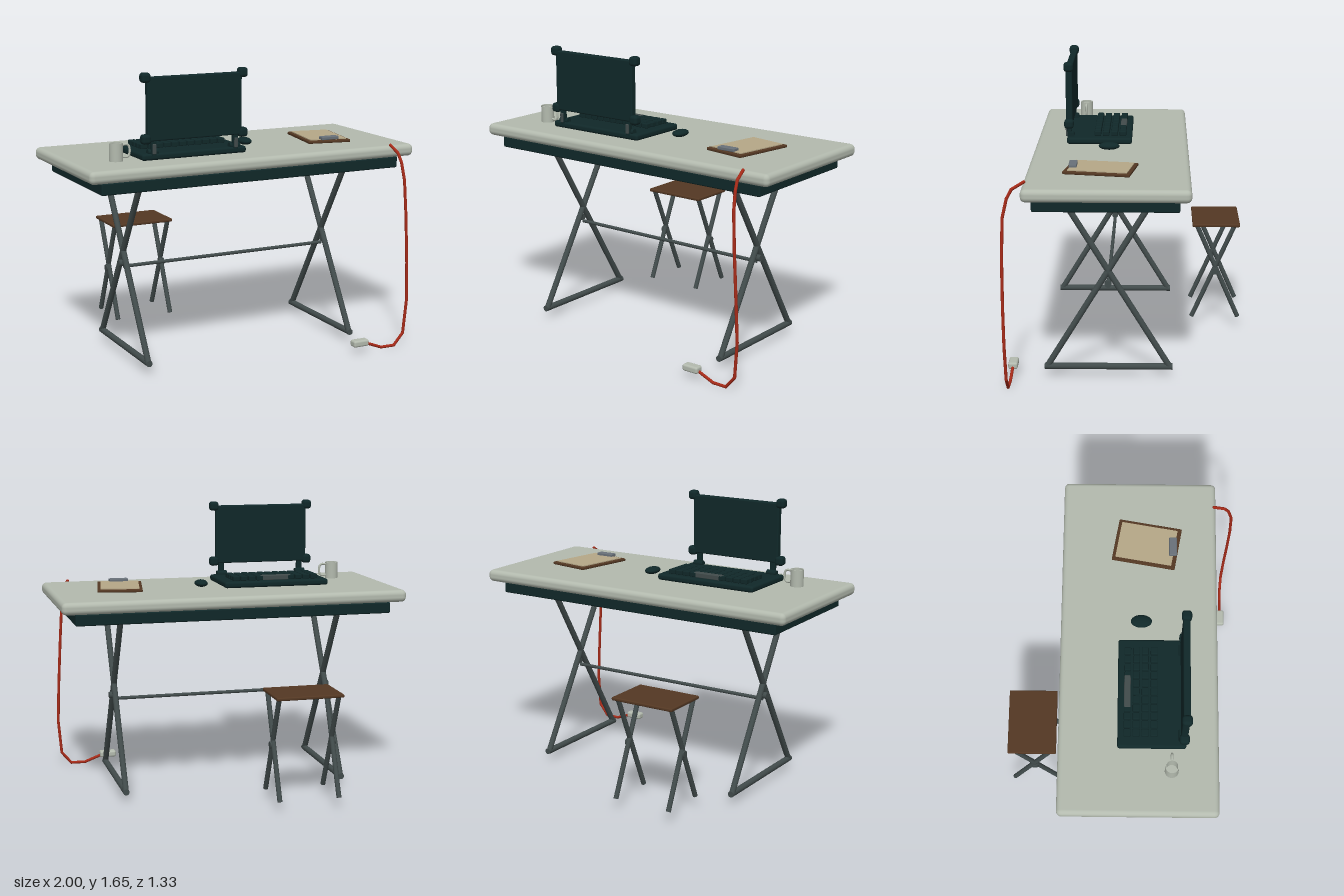
import * as THREE from 'three';
import { RoundedBoxGeometry } from 'three/addons/geometries/RoundedBoxGeometry.js';

const mat = (name, color) => {
  const m = new THREE.MeshStandardMaterial({ color });
  m.name = name;
  return m;
};

export function createModel() {
  const paleGrey = mat('pale grey', 0xb3baae);
  const darkTeal = mat('dark teal', 0x102829);
  const steel = mat('steel', 0x414b4b);
  const brown = mat('brown wood', 0x543823);
  const cream = mat('cream paper', 0xb5a787);
  const clipGrey = mat('clip grey', 0x697179);
  const red = mat('red', 0xa52a18);

  const model = new THREE.Group();
  model.name = 'foldingDesk';

  const group = (name, parent = model) => {
    const g = new THREE.Group();
    g.name = name;
    parent.add(g);
    return g;
  };
  const add = (name, geometry, material, [x, y, z] = [0, 0, 0], parent = model) => {
    const m = new THREE.Mesh(geometry, material);
    m.name = name;
    m.position.set(x, y, z);
    parent.add(m);
    return m;
  };
  // Rounded box given by its lower and upper corners
  const slab = (name, a, b, radius, material, parent) => add(name,
    new RoundedBoxGeometry(b[0] - a[0], b[1] - a[1], b[2] - a[2], 3, radius), material,
    a.map((v, i) => (v + b[i]) / 2), parent);
  // Round bar between two points
  const rod = (name, a, b, radius, material, parent) => {
    const p = new THREE.Vector3(...a), q = new THREE.Vector3(...b);
    const d = q.clone().sub(p);
    const m = add(name, new THREE.CylinderGeometry(radius, radius, d.length(), 16), material,
      p.clone().add(q).multiplyScalar(0.5).toArray(), parent);
    m.quaternion.setFromUnitVectors(new THREE.Vector3(0, 1, 0), d.normalize());
    return m;
  };

  // Desk top and the frame below it
  const desk = group('desk');
  slab('tabletop', [-1, 1.105, -0.34], [1, 1.175, 0.545], 0.028, paleGrey, desk);
  slab('underframe', [-0.92, 1.035, -0.28], [0.92, 1.1, 0.495], 0.008, darkTeal, desk);
  add('spacer', new THREE.BoxGeometry(1.76, 0.02, 0.7), darkTeal, [0, 1.1, 0.105], desk);

  // Crossed desk legs, foot bars and pivots
  for (const s of [-1, 1]) {
    const x = s * 0.645;
    rod('deskLeg', [x, 1.05, 0.362], [x, 0.063, -0.235], 0.017, steel, desk);
    rod('deskLeg', [x, 1.05, -0.152], [x, 0.063, 0.445], 0.017, steel, desk);
    rod('footBar', [x, 0.063, -0.25], [x, 0.063, 0.46], 0.018, steel, desk);
    rod('deskPivot', [x, 0.555, 0.105], [s * 0.675, 0.555, 0.105], 0.019, steel, desk);
  }
  rod('crossBar', [-0.645, 0.533, 0.105], [0.645, 0.533, 0.105], 0.01, steel, desk);

  // Folding stool
  const stool = group('stool');
  slab('seat', [-0.51, 0.638, -0.66], [-0.12, 0.657, -0.375], 0.007, brown, stool);
  for (const s of [-1, 1]) {
    const x = -0.315 + s * 0.173;
    rod('stoolLeg', [x, 0.645, -0.402], [x, 0.065, -0.655], 0.014, steel, stool);
    rod('stoolLeg', [x, 0.645, -0.628], [x, 0.065, -0.375], 0.014, steel, stool);
    rod('stoolPivot', [x, 0.358, -0.515], [x + s * 0.02, 0.358, -0.515], 0.02, steel, stool);
  }

  // Laptop base with keys
  const laptop = group('laptop');
  slab('laptopBase', [-0.63, 1.175, -0.013], [0, 1.212, 0.365], 0.014, darkTeal, laptop);
  const key = new RoundedBoxGeometry(0.041, 0.028, 0.038, 1, 0.005);
  for (let r = 0; r < 4; r++) {
    for (let c = 0; c < 11; c++) {
      if (r === 0 && c > 3 && c < 7) continue;
      add('key', key, darkTeal, [-0.552 + c * 0.0475, 1.225, 0.04 + r * 0.049], laptop);
    }
  }
  slab('spaceBar', [-0.41, 1.21, 0.022], [-0.222, 1.24, 0.058], 0.005, steel, laptop);

  // Laptop screen, corner bumpers and hinges
  slab('screen', [-0.6, 1.28, 0.332], [-0.032, 1.628, 0.37], 0.008, darkTeal, laptop);
  const bumper = new RoundedBoxGeometry(0.054, 0.054, 0.055, 3, 0.018);
  for (const s of [-1, 1]) {
    const x = -0.315 + s * 0.292;
    for (const y of [1.292, 1.625]) add('bumper', bumper, darkTeal, [x, y, 0.352], laptop);
    const h = -0.315 + s * 0.247;
    rod('hingeBarrel', [h - 0.03, 1.218, 0.34], [h + 0.03, 1.218, 0.34], 0.018, darkTeal, laptop);
    slab('hingePost', [h - 0.015, 1.2, 0.34], [h + 0.015, 1.3, 0.365], 0.004, darkTeal, laptop);
    slab('hingeCover', [h - 0.01, 1.21, 0.35], [h + 0.01, 1.265, 0.374], 0.004, steel, laptop);
  }

  // Mouse
  add('mouse', new THREE.SphereGeometry(1, 24, 16), darkTeal, [0.115, 1.195, 0.115])
    .scale.set(0.038, 0.021, 0.06);

  // Mug with handle
  const mug = group('mug');
  const profile = [[0, 0], [0.038, 0], [0.038, 0], [0.038, 0.098], [0.038, 0.098],
    [0.032, 0.098], [0.032, 0.098], [0.032, 0.01], [0.032, 0.01], [0, 0.01]];
  add('mugBody', new THREE.LatheGeometry(profile.map(p => new THREE.Vector2(...p)), 28),
    paleGrey, [-0.752, 1.175, 0.285], mug);
  const handle = new THREE.CatmullRomCurve3([[-0.718, 1.26], [-0.686, 1.261], [-0.675, 1.247],
    [-0.675, 1.208], [-0.686, 1.194], [-0.718, 1.195]].map(([x, y]) => new THREE.Vector3(x, y, 0.285)));
  add('mugHandle', new THREE.TubeGeometry(handle, 24, 0.0065, 10), paleGrey, [0, 0, 0], mug);

  // Clipboard, turned slightly on the desk
  const clipboard = group('clipboard');
  clipboard.position.set(0.595, 1.175, 0.144);
  clipboard.rotation.y = -0.17;
  slab('board', [-0.129, 0.004, -0.183], [0.129, 0.02, 0.183], 0.005, brown, clipboard);
  add('paper', new THREE.BoxGeometry(0.222, 0.006, 0.325), cream, [0, 0.022, -0.002], clipboard);
  slab('clip', [0.52, 1.196, 0.272], [0.63, 1.215, 0.316], 0.004, clipGrey);

  // Power cable hanging over the front edge, with straight runs between bends
  const cable = group('powerCable');
  const path = [[0.843, 1.178, 0.535], [0.853, 1.14, 0.6], [0.86, 1.09, 0.627], [0.868, 0.99, 0.65],
    [0.88, 0.78, 0.658], [0.895, 0.5, 0.658], [0.903, 0.28, 0.655], [0.886, 0.08, 0.65],
    [0.828, 0.011, 0.647], [0.742, 0.011, 0.644], [0.64, 0.05, 0.64]];
  const joint = new THREE.SphereGeometry(0.0085, 12, 8);
  path.forEach((p, i) => {
    add('cableBend', joint, red, p, cable);
    if (i) rod('cableRun', path[i - 1], p, 0.0085, red, cable);
  });
  slab('plug', [0.548, 0.038, 0.613], [0.648, 0.077, 0.666], 0.012, paleGrey, cable);

  return model;
}
